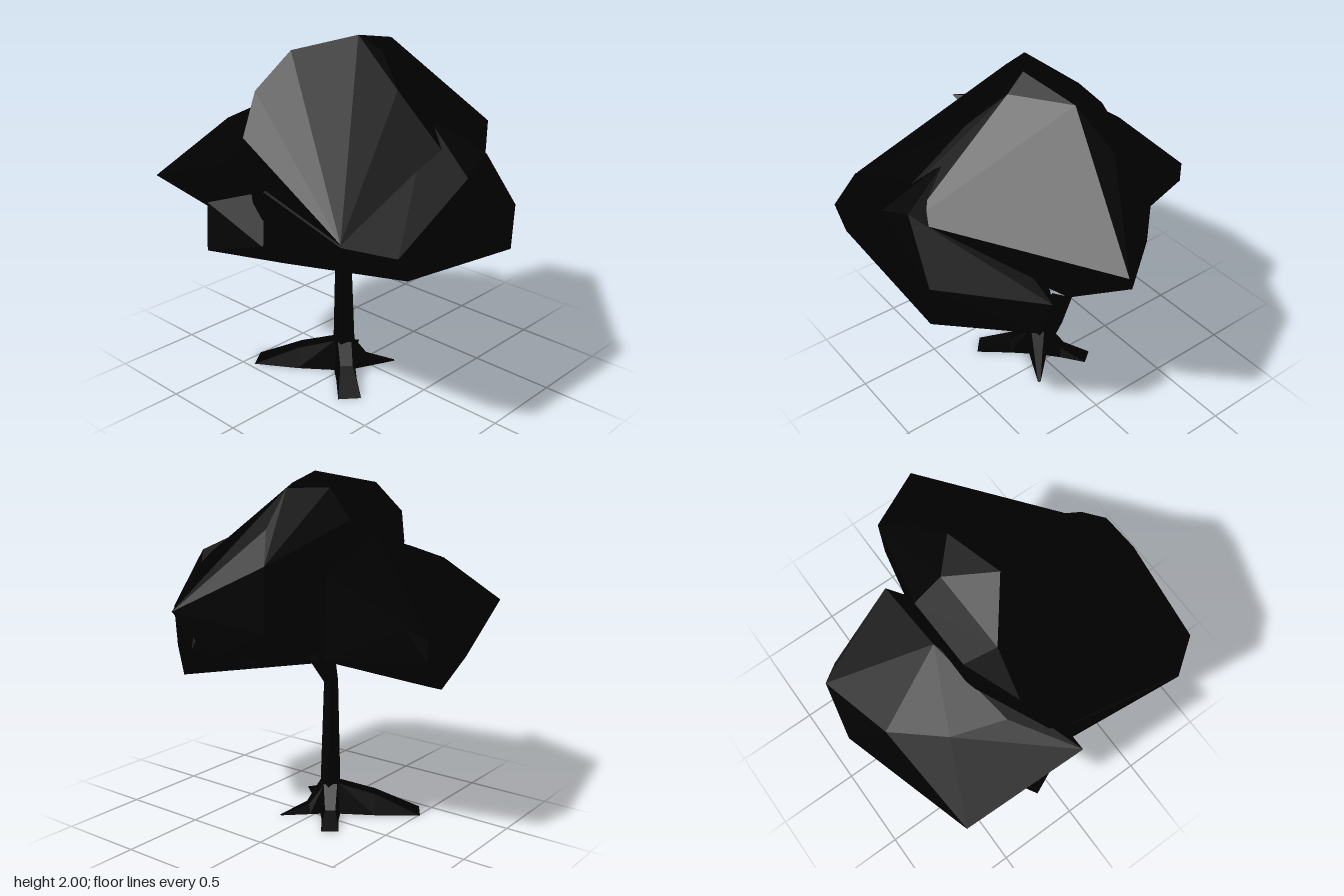
import * as THREE from 'three';
import { ConvexGeometry } from 'three/addons/geometries/ConvexGeometry.js';

const material = new THREE.MeshStandardMaterial({ color: 0x000000, flatShading: true });

// Faceted solid wrapped around a handful of corner points
function hull(name, points) {
  const mesh = new THREE.Mesh(new ConvexGeometry(points.map((p) => new THREE.Vector3(...p))), material);
  mesh.name = name;
  return mesh;
}

// Six-sided trunk; each ring is [y, centre x, centre z, radius x, radius z], bottom to top
function makeTrunk(rings) {
  const geometry = new THREE.CylinderGeometry(1, 1, 1, 6, rings.length - 1);
  const pos = geometry.attributes.position;
  for (let i = 0; i < pos.count; i++) {
    const row = Math.round((pos.getY(i) + 0.5) * (rings.length - 1));
    const [y, cx, cz, rx, rz] = rings[row];
    pos.setXYZ(i, cx + pos.getX(i) * rx, y, cz + pos.getZ(i) * rz);
  }
  geometry.computeVertexNormals();
  const mesh = new THREE.Mesh(geometry, material);
  mesh.name = 'trunk';
  return mesh;
}

// Root: a tall buttress at the trunk that narrows to a blunt edge on the ground
function makeRoot([tipX, tipZ], tipWidth, kneeWidth, kneeHeight, kneeAt) {
  const cx = -0.11, cz = -0.03;
  const dx = tipX - cx, dz = tipZ - cz, length = Math.hypot(dx, dz);
  const at = (t, side, y) => [cx + dx * t - (dz / length) * side, y, cz + dz * t + (dx / length) * side];
  const pair = (t, side, y) => [at(t, side, y), at(t, -side, y)];
  const collar = [...pair(0, 0.065, 0), ...pair(0.05 / length, 0.04, 0.18)];
  const knee = [...pair(kneeAt, kneeWidth, 0), ...pair(kneeAt, kneeWidth * 0.6, kneeHeight)];
  const tip = pair(1, tipWidth, 0);
  const root = new THREE.Group();
  root.name = 'root';
  root.add(hull('rootBase', [...collar, ...knee]), hull('rootEnd', [...knee, ...tip]));
  return root;
}

export function createModel() {
  const tree = new THREE.Group();
  tree.name = 'tree';

  // Trunk, flaring and leaning forward where it enters the leaves
  tree.add(makeTrunk([
    [0, -0.11, -0.03, 0.08, 0.07],
    [0.18, -0.11, -0.03, 0.068, 0.058],
    [0.8, -0.108, -0.033, 0.049, 0.038],
    [0.92, -0.1, 0.02, 0.095, 0.055],
    [1.1, -0.1, 0.06, 0.095, 0.06],
  ]));

  // Four roots, the back one the longest
  tree.add(
    makeRoot([-0.41, -0.47], 0.07, 0.08, 0.12, 0.5),
    makeRoot([-0.36, 0.255], 0.065, 0.06, 0.09, 0.45),
    makeRoot([0.15, -0.22], 0.05, 0.05, 0.06, 0.5),
    makeRoot([0.14, 0.15], 0.008, 0.04, 0.06, 0.45),
  );

  // Top foliage: a dome with a spur to the left, its underside rising to the back
  tree.add(hull('topFoliage', [
    [-0.09, 2, 0.07], [-0.37, 1.93, -0.15], [0.25, 1.93, 0], [-0.05, 1.93, 0.2], [0.08, 1.93, -0.16],
    [0.49, 1.74, -0.06], [0.65, 1.58, -0.18], [0.92, 1.35, 0.2], [0.78, 1.11, 0.04],
    [-0.6, 1.75, -0.18], [-0.76, 1.55, -0.1], [-0.78, 1.46, 0.05], [-0.15, 1.77, 0.4],
    [0.1, 1.77, -0.31], [-0.3, 1.77, -0.3], [0.1, 1.68, -0.33], [-0.35, 1.66, -0.32],
    [0.65, 1.24, -0.17], [0.585, 1.06, 0.3], [0.3, 1.1, -0.2], [0.25, 0.98, 0.08],
    [-0.1, 1.03, -0.22], [-0.7, 1.1, -0.1],
    [-0.87, 1.23, 0.69], [-0.2, 1.41, 0.88], [0, 1.45, 0.85],
  ]));

  // Broad front foliage
  tree.add(hull('frontFoliage', [
    [-0.65, 0.87, 0.05], [-0.65, 1.04, 0.91], [0.2, 0.935, 0.9],
    [0.57, 0.9, 0.48], [0.28, 0.935, 0.2], [-0.1, 0.89, 0.07], [-0.77, 0.98, 0.04],
    [-0.73, 1.18, 0.92], [-0.88, 1.22, 0.7], [0.22, 1.18, 0.9], [0.585, 1.06, 0.4],
    [-0.77, 1.3, 0.05], [-0.2, 1.43, 0.9], [0, 1.5, 0.86], [-0.1, 1.65, 0.56],
    [0.2, 1.3, 0.62],
  ]));

  // Low corner of leaves joining the front and back masses on the right
  tree.add(hull('cornerFoliage', [
    [-0.907, 0.935, -0.25], [-0.89, 1.2, -0.25], [-0.65, 0.87, 0.05], [-0.78, 1, 0.04],
    [-0.62, 0.935, -0.42], [-0.7, 1.2, -0.4], [-0.3, 0.94, -0.29], [-0.2, 0.92, 0.05], [-0.5, 1.25, 0],
  ]));

  // Back foliage, sloping down to the rear
  tree.add(hull('backFoliage', [
    [-0.93, 1.47, -0.02], [-0.88, 1.24, -0.7], [-0.23, 1.15, -0.86], [-0.09, 1.09, -0.92],
    [0.2, 1.22, -0.86], [0.2, 1.1, -0.86], [0.05, 0.93, -0.86], [-0.12, 0.875, -0.67],
    [0.25, 1.27, -0.76], [-0.25, 1.36, -0.76], [0.35, 1.52, -0.34], [0.32, 1.05, -0.3],
    [-0.1, 1.67, -0.34], [-0.5, 1.52, -0.53], [-0.6, 1.55, -0.25],
    [-0.75, 1.09, -0.4], [-0.5, 1, -0.3], [-0.1, 0.94, -0.29], [0, 1.3, 0],
  ]));

  return tree;
}
